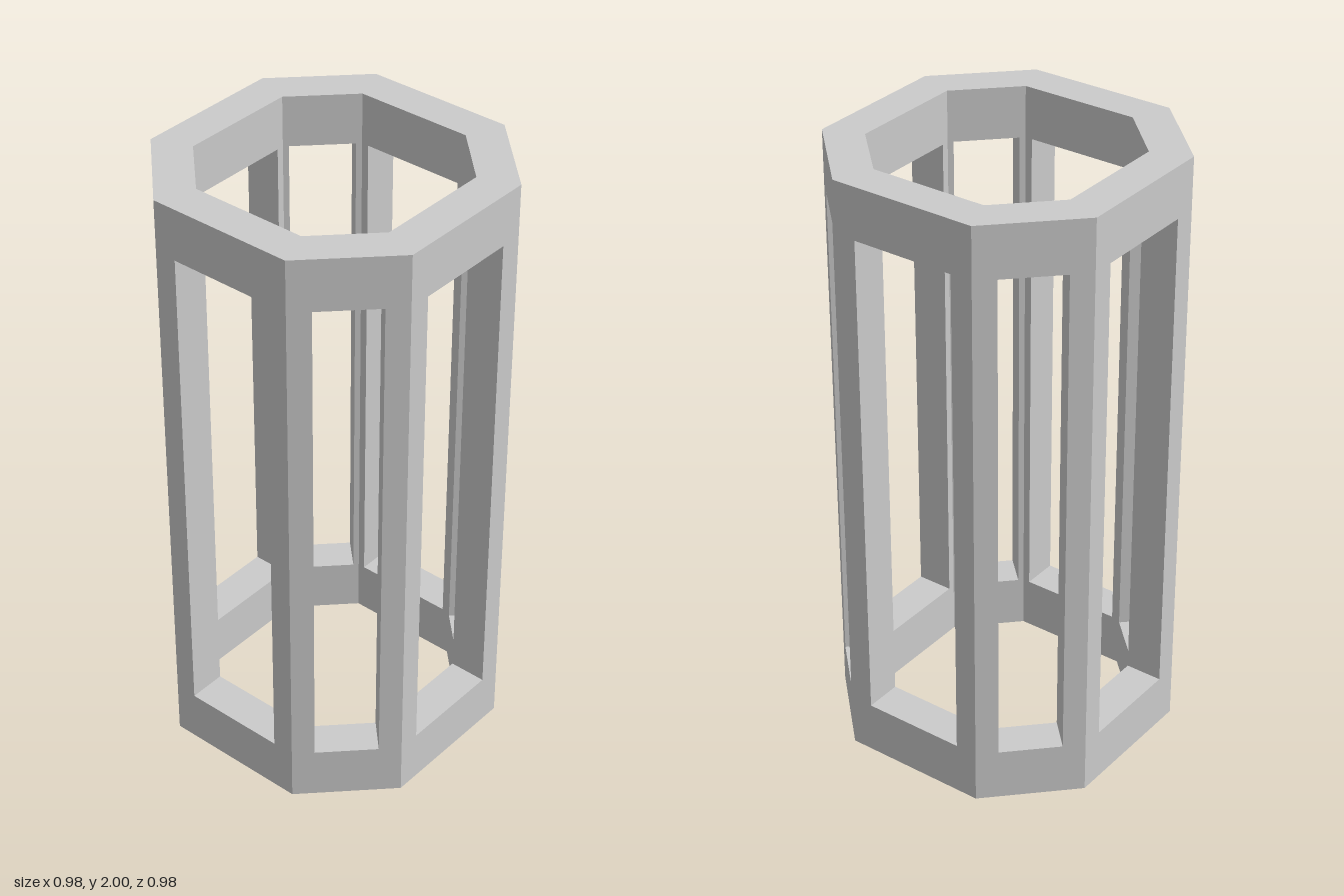
import * as THREE from 'three';

const material = new THREE.MeshStandardMaterial({ color: 0xcccccc, flatShading: true });

const HEIGHT = 2, BOTTOM = 0.175, TOP = 1.83;

// Octagon outline with long sides on the axes and short diagonal sides
const octagon = (half, corner) => [
  [half, -corner], [half, corner], [corner, half], [-corner, half],
  [-half, corner], [-half, -corner], [-corner, -half], [corner, -half],
].map(([x, y]) => new THREE.Vector2(x, y));

// Extrude a plan shape upward from y0 to y1
function prism(name, shape, y0, y1) {
  const geometry = new THREE.ExtrudeGeometry(shape, { depth: y1 - y0, bevelEnabled: false });
  geometry.rotateX(-Math.PI / 2);
  geometry.translate(0, y0, 0);
  const mesh = new THREE.Mesh(geometry, material);
  mesh.name = name;
  return mesh;
}

export function createModel() {
  const group = new THREE.Group();
  group.name = 'octagonalFrame';

  // Bottom and top rings
  const ring = new THREE.Shape(octagon(0.49, 0.245));
  ring.holes.push(new THREE.Path(octagon(0.367, 0.196)));
  group.add(prism('bottomRing', ring, 0, BOTTOM));
  group.add(prism('topRing', ring, TOP, HEIGHT));

  // Corner posts: bent section whose sides are square to the two faces it joins
  const section = [
    [0.172, 0.49], [0.172, 0.367], [0.196, 0.367],
    [0.209, 0.354], [0.296, 0.439], [0.245, 0.49],
  ];
  for (let quarter = 0; quarter < 4; quarter++) {
    for (const side of [1, -1]) {
      const points = section.map(([x, y]) => new THREE.Vector2(side * x, y));
      const post = prism('cornerPost', new THREE.Shape(points), BOTTOM, TOP);
      post.rotation.y = quarter * Math.PI / 2;
      group.add(post);
    }
  }
  return group;
}
